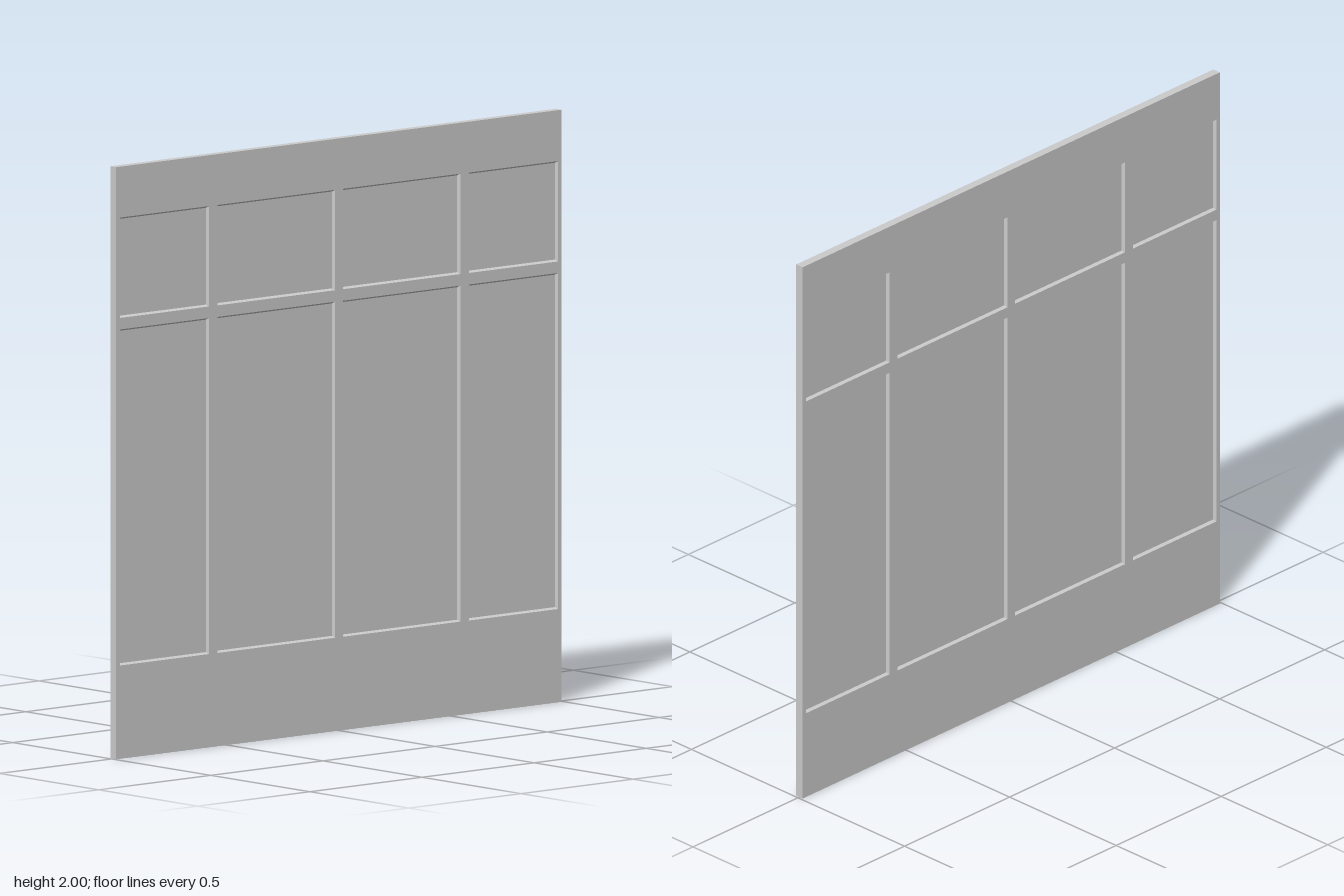
import * as THREE from 'three';

const HALF_W = 0.993, HEIGHT = 2, DEPTH = 0.03, BEVEL = 0.006;
const columns = [[-0.977, -0.579], [-0.541, -0.017], [0.017, 0.541], [0.579, 0.977]];
const rows = [[0.315, 1.45], [1.489, 1.828]];

function rectangle(Type, x0, x1, y0, y1) {
  return new Type([[x0, y0], [x1, y0], [x1, y1], [x0, y1]].map(([x, y]) => new THREE.Vector2(x, y)));
}

export function createModel() {
  const group = new THREE.Group();
  const material = new THREE.MeshStandardMaterial({ color: 0xcccccc, flatShading: true });
  const openings = rows.flatMap(([y0, y1]) => columns.map(([x0, x1]) => ({ x0, x1, y0, y1 })));

  // Frame: one slab with eight openings, in three layers of depth
  const shape = rectangle(THREE.Shape, -HALF_W, HALF_W, 0, HEIGHT);
  for (const o of openings) shape.holes.push(rectangle(THREE.Path, o.x0, o.x1, o.y0, o.y1));
  const frameGeometry = new THREE.ExtrudeGeometry(shape, { depth: DEPTH, steps: 3, bevelEnabled: false });
  frameGeometry.translate(0, 0, -DEPTH / 2);

  // Pull the middle layers of each opening inward, for sloped reveals on both faces
  const position = frameGeometry.attributes.position;
  for (let i = 0; i < position.count; i++) {
    const x = position.getX(i), y = position.getY(i);
    if (Math.abs(position.getZ(i)) > DEPTH / 3) continue;
    const o = openings.find((p) => x > p.x0 - 0.001 && x < p.x1 + 0.001 && y > p.y0 - 0.001 && y < p.y1 + 0.001);
    if (!o) continue;
    position.setX(i, x + BEVEL * Math.sign((o.x0 + o.x1) / 2 - x));
    position.setY(i, y + BEVEL * Math.sign((o.y0 + o.y1) / 2 - y));
  }
  frameGeometry.computeVertexNormals();
  const frame = new THREE.Mesh(frameGeometry, material);
  frame.name = 'frame';
  group.add(frame);

  // Recessed panels filling the openings
  openings.forEach((o, i) => {
    const panel = new THREE.Mesh(
      new THREE.BoxGeometry(o.x1 - o.x0 - 2 * BEVEL, o.y1 - o.y0 - 2 * BEVEL, DEPTH / 3), material);
    panel.position.set((o.x0 + o.x1) / 2, (o.y0 + o.y1) / 2, 0);
    panel.name = (i < columns.length ? 'lowerPanel' : 'upperPanel') + (i % columns.length + 1);
    group.add(panel);
  });
  return group;
}
